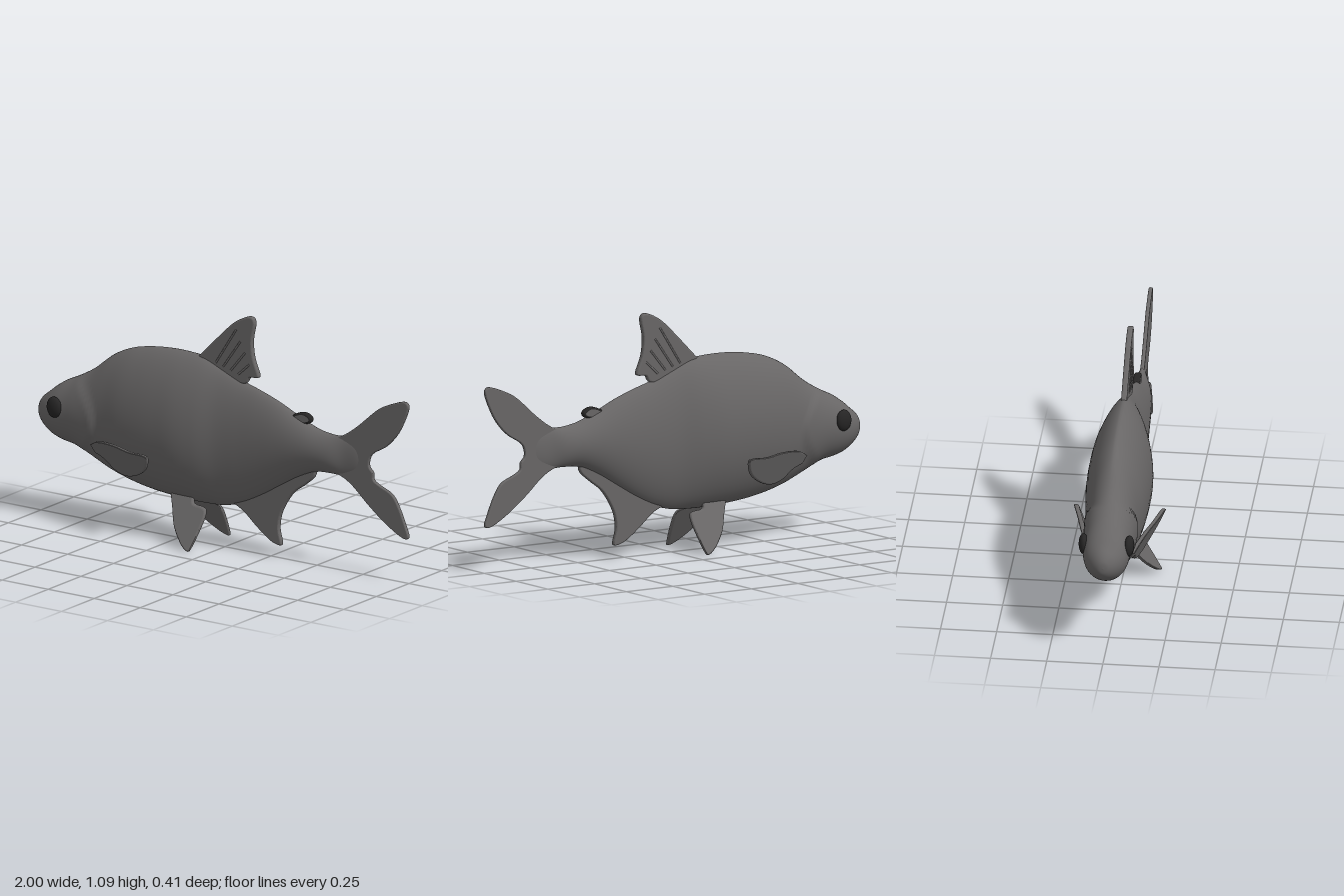
import * as THREE from 'three';

const skin = new THREE.MeshStandardMaterial({ color: 0x686666 });
skin.name = 'greySkin';
const dark = new THREE.MeshStandardMaterial({ color: 0x262525 });
dark.name = 'darkEye';

// Body stations from snout to tail: x, top, bottom, half width
const stations = [
  [-1, 0.48, 0.48, 0], [-0.995, 0.51, 0.45, 0.025], [-0.975, 0.54, 0.42, 0.053],
  [-0.94, 0.568, 0.392, 0.08], [-0.9, 0.6, 0.368, 0.097], [-0.85, 0.632, 0.352, 0.105],
  [-0.78, 0.665, 0.338, 0.106], [-0.7, 0.712, 0.3, 0.105], [-0.6, 0.79, 0.255, 0.115],
  [-0.5, 0.837, 0.225, 0.132], [-0.4, 0.86, 0.206, 0.14], [-0.3, 0.871, 0.195, 0.142],
  [-0.2, 0.872, 0.189, 0.139], [-0.1, 0.862, 0.188, 0.12], [0, 0.825, 0.195, 0.092],
  [0.1, 0.785, 0.222, 0.08], [0.2, 0.755, 0.27, 0.074], [0.3, 0.72, 0.33, 0.07],
  [0.4, 0.675, 0.39, 0.065], [0.5, 0.636, 0.433, 0.056], [0.58, 0.622, 0.44, 0.042],
  [0.65, 0.62, 0.44, 0.02], [0.72, 0.6, 0.46, 0.011], [0.77, 0.54, 0.5, 0],
];

function sampleStation(t) {
  const last = stations.length - 1;
  const i = Math.min(Math.floor(t), last - 1);
  const f = t - i;
  const at = (n) => stations[Math.max(0, Math.min(last, n))];
  return [0, 1, 2, 3].map((k) => {
    const [a, b, c, d] = [at(i - 1)[k], at(i)[k], at(i + 1)[k], at(i + 2)[k]];
    return b + 0.5 * f * (c - a + f * (2 * a - 5 * b + 4 * c - d + f * (3 * (b - c) + d - a)));
  });
}

// Lofted body with a raised gill cover ending in a curved step
function bodyGeometry() {
  const rings = (stations.length - 1) * 7;
  const sides = 48;
  const pos = [];
  const index = [];
  for (let i = 0; i <= rings; i++) {
    const [x, top, bottom, rawWidth] = sampleStation(i / 7);
    const width = Math.max(0, rawWidth);
    const ridge = 1 + 0.3 * THREE.MathUtils.smoothstep(x, -0.85, -0.4);
    for (let j = 0; j < sides; j++) {
      const a = (j / sides) * Math.PI * 2;
      const y = (top + bottom) / 2 + ((top - bottom) / 2) * Math.cos(a);
      const s = Math.sin(a);
      const gill = -0.64 - 4 * (y - 0.49) ** 2;
      const cover = THREE.MathUtils.smoothstep(x, -0.84, -0.7)
        * (1 - THREE.MathUtils.smoothstep(x, gill - 0.012, gill + 0.012));
      pos.push(x, y, Math.sign(s) * Math.abs(s) ** ridge * width + s * 0.012 * cover);
    }
  }
  for (let i = 0; i < rings; i++) {
    for (let j = 0; j < sides; j++) {
      const a = i * sides + j;
      const b = i * sides + ((j + 1) % sides);
      index.push(a, b, a + sides, b, b + sides, a + sides);
    }
  }
  const g = new THREE.BufferGeometry();
  g.setAttribute('position', new THREE.Float32BufferAttribute(pos, 3));
  g.setIndex(index);
  g.computeVertexNormals();
  return g;
}

// Fin plate with rounded rim; bend(x, y) shifts it sideways
function fin(name, points, half, bend, material = skin) {
  const curve = new THREE.SplineCurve(points.map(([x, y]) => new THREE.Vector2(x, y)));
  const shape = new THREE.Shape(curve.getPoints(points.length * 4));
  const rim = half * 0.6;
  const g = new THREE.ExtrudeGeometry(shape, {
    depth: 2 * (half - rim), bevelThickness: rim, bevelSize: rim, bevelOffset: -rim, bevelSegments: 3,
  });
  g.translate(0, 0, -(half - rim));
  if (bend) {
    const p = g.attributes.position;
    for (let i = 0; i < p.count; i++) p.setZ(i, p.getZ(i) + bend(p.getX(i), p.getY(i)));
    g.computeVertexNormals();
  }
  const m = new THREE.Mesh(g, material);
  m.name = name;
  return m;
}

export function createModel() {
  const fish = new THREE.Group();
  fish.name = 'fish';
  const body = new THREE.Mesh(bodyGeometry(), skin);
  body.name = 'body';
  fish.add(body);

  // Fins on the centre line
  fish.add(fin('dorsalFin', [
    [-0.14, 0.86], [-0.1, 0.9], [-0.02, 0.98], [0.05, 1.045], [0.11, 1.08], [0.15, 1.088], [0.166, 1.06],
    [0.152, 0.98], [0.16, 0.9], [0.187, 0.83], [0.18, 0.812], [0.14, 0.808], [0.11, 0.775], [0, 0.78],
  ], 0.013));
  fish.add(fin('analFin', [
    [0.03, 0.22], [0.1, 0.19], [0.18, 0.125], [0.25, 0.076], [0.3, 0.061], [0.311, 0.075], [0.297, 0.14],
    [0.313, 0.22], [0.37, 0.31], [0.44, 0.365], [0.488, 0.408], [0.48, 0.44], [0.35, 0.41], [0.18, 0.31],
  ], 0.012));
  fish.add(fin('tailFin', [
    [0.58, 0.61], [0.64, 0.625], [0.72, 0.68], [0.83, 0.775], [0.9, 0.812], [0.97, 0.836], [0.995, 0.828],
    [0.998, 0.805], [0.98, 0.755], [0.94, 0.68], [0.88, 0.615], [0.81, 0.572], [0.788, 0.54], [0.787, 0.505],
    [0.808, 0.48], [0.81, 0.45], [0.84, 0.43], [0.91, 0.398], [0.95, 0.34], [0.985, 0.26], [0.999, 0.22],
    [0.988, 0.205], [0.95, 0.215], [0.87, 0.262], [0.78, 0.33], [0.7, 0.4], [0.64, 0.435], [0.58, 0.45],
  ], 0.009));
  fish.add(fin('adiposeFin', [
    [0.36, 0.67], [0.385, 0.683], [0.42, 0.695], [0.45, 0.693], [0.474, 0.675], [0.468, 0.655],
    [0.44, 0.645], [0.4, 0.64],
  ], 0.016, null, [skin, dark]));

  for (const side of [1, -1]) {
    // Raised rays on the dorsal fin
    for (let i = 0; i < 4; i++) {
      const ray = new THREE.Mesh(new THREE.TubeGeometry(new THREE.LineCurve3(
        new THREE.Vector3(-0.04 + i * 0.04, 0.85 - i * 0.012, side * 0.011),
        new THREE.Vector3(0.07 + i * 0.024, 1.02 - i * 0.05, side * 0.011),
      ), 4, 0.005, 6), skin);
      ray.name = 'dorsalRay';
      fish.add(ray);
    }

    // Paired fins
    fish.add(fin('pectoralFin', [
      [-0.66, 0.385], [-0.6, 0.415], [-0.5, 0.422], [-0.4, 0.412], [-0.31, 0.418], [-0.285, 0.405],
      [-0.315, 0.345], [-0.38, 0.3], [-0.46, 0.275], [-0.53, 0.288], [-0.585, 0.33], [-0.64, 0.35],
    ], 0.011, (x, y) => side * (0.1 + 0.24 * (x + 0.63) + 0.4 * (y - 0.38))));
    fish.add(fin('pelvicFin', [
      [-0.27, 0.21], [-0.24, 0.16], [-0.2, 0.09], [-0.14, 0.03], [-0.095, 0.004], [-0.08, 0.018],
      [-0.062, 0.12], [-0.065, 0.168], [-0.09, 0.182], [-0.14, 0.19], [-0.16, 0.23], [-0.23, 0.24],
    ], 0.011, (x, y) => side * (0.035 + 0.62 * (0.2 - y))));

    // Eyes
    const eye = new THREE.Mesh(new THREE.SphereGeometry(1, 24, 16), dark);
    eye.name = side > 0 ? 'leftEye' : 'rightEye';
    eye.scale.set(0.041, 0.048, 0.022);
    eye.position.set(-0.857, 0.525, side * 0.101);
    eye.rotation.y = -0.15 * side;
    fish.add(eye);
  }
  return fish;
}
